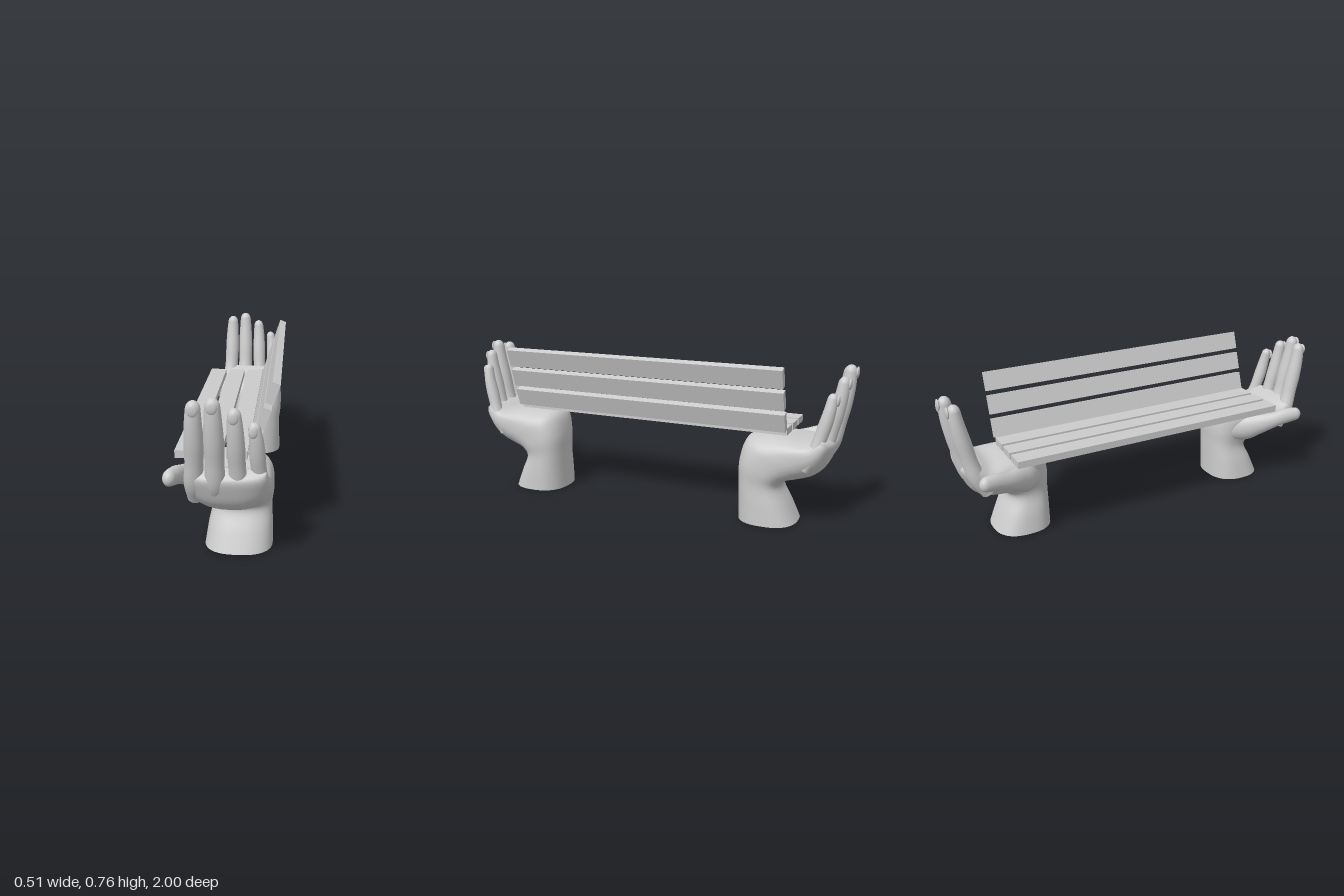
import * as THREE from 'three';

const material = new THREE.MeshStandardMaterial({ color: 0xcccccc, side: THREE.DoubleSide });

// Skin a list of rings (each an array of Vector3) into one smooth surface
function loft(rings, name) {
  const n = rings[0].length, pos = [], index = [];
  rings.forEach(r => r.forEach(p => pos.push(p.x, p.y, p.z)));
  for (let i = 0; i < rings.length - 1; i++) {
    for (let j = 0; j < n; j++) {
      const k = (j + 1) % n, a = i * n, b = a + n;
      index.push(a + j, a + k, b + k, a + j, b + k, b + j);
    }
  }
  const g = new THREE.BufferGeometry();
  g.setAttribute('position', new THREE.Float32BufferAttribute(pos, 3));
  g.setIndex(index);
  g.computeVertexNormals();
  const mesh = new THREE.Mesh(g, material);
  mesh.name = name;
  return mesh;
}

// Round-tipped digit along a path; radii are spread evenly over its length
function digit(name, points, radii, ref, squash = 1, tip = 0.93) {
  const curve = new THREE.CatmullRomCurve3(points.map(p => new THREE.Vector3(...p)));
  const widths = new THREE.SplineCurve(radii.map((r, i) => new THREE.Vector2(i, r)));
  const rings = [];
  for (let i = 0; i <= 30; i++) {
    const t = i < 20 ? tip * i / 20 : tip + (1 - tip) * Math.sin((i - 20) / 10 * Math.PI / 2);
    const c = curve.getPointAt(t), T = curve.getTangentAt(t);
    const u = ref.clone().addScaledVector(T, -ref.dot(T)).normalize();
    const v = T.clone().cross(u);
    const q = Math.max(0, (t - tip) / (1 - tip));
    const r = widths.getPoint(t).y * Math.sqrt(Math.max(0.00001, 1 - q * q));
    rings.push(Array.from({ length: 20 }, (_, j) => {
      const a = j / 20 * Math.PI * 2;
      return c.clone().addScaledVector(u, r * Math.cos(a)).addScaledVector(v, r * squash * Math.sin(a));
    }));
  }
  return loft(rings, name);
}

// Wrist and palm: palm-side z y, back-of-hand z y, right and left x
function palm() {
  const rows = [
    [0.490, 0.000, 0.775, 0.000, -0.085, 0.215],
    [0.490, 0.100, 0.735, 0.090, -0.070, 0.213],
    [0.490, 0.200, 0.698, 0.170, -0.052, 0.210],
    [0.492, 0.300, 0.725, 0.208, -0.070, 0.218],
    [0.525, 0.400, 0.785, 0.222, -0.105, 0.218],
    [0.610, 0.422, 0.845, 0.243, -0.130, 0.215],
    [0.710, 0.422, 0.890, 0.283, -0.142, 0.212],
    [0.790, 0.412, 0.918, 0.340, -0.142, 0.206],
    [0.845, 0.430, 0.935, 0.400, -0.135, 0.195],
    [0.880, 0.440, 0.905, 0.430, -0.110, 0.175],
    [0.892, 0.436, 0.893, 0.435, 0.030, 0.032],
  ];
  const spline = k => new THREE.SplineCurve(rows.map(r => new THREE.Vector2(r[k], r[k + 1])));
  const inner = spline(0), outer = spline(2), sides = spline(4);
  const bulge = a => Math.sign(a) * Math.pow(Math.abs(a), 0.8);
  const rings = [];
  for (let i = 0; i <= 50; i++) {
    const p = inner.getPoint(i / 50), q = outer.getPoint(i / 50), s = sides.getPoint(i / 50);
    rings.push(Array.from({ length: 40 }, (_, j) => {
      const a = j / 40 * Math.PI * 2, c = bulge(Math.cos(a)), d = bulge(Math.sin(a));
      return new THREE.Vector3(
        (s.x + s.y) / 2 + c * (s.y - s.x) / 2,
        (p.y + q.y) / 2 + d * (p.y - q.y) / 2,
        (p.x + q.x) / 2 + d * (p.x - q.x) / 2);
    }));
  }
  return loft(rings, 'wristAndPalm');
}

function hand(name) {
  const g = new THREE.Group();
  g.name = name;
  g.add(palm());

  // Fingers: name, base x, middle x, tip x, tip height, z offset, radius
  const X = new THREE.Vector3(1, 0, 0);
  const fingers = [
    ['indexFinger', -0.100, -0.094, -0.090, 0.738, -0.018, 0.039],
    ['middleFinger', -0.012, -0.012, -0.015, 0.755, 0, 0.040],
    ['ringFinger', 0.080, 0.074, 0.066, 0.712, -0.013, 0.036],
    ['littleFinger', 0.170, 0.158, 0.140, 0.647, -0.045, 0.032],
  ];
  for (const [label, x0, x1, x2, top, dz, r] of fingers) {
    const h = top - 0.29;
    g.add(digit(label, [
      [x0, 0.29, 0.840 + dz * 0.6],
      [x0, 0.29 + h * 0.2, 0.896 + dz],
      [x1, 0.29 + h * 0.5, 0.931 + dz],
      [x1 * 0.6 + x2 * 0.4, 0.29 + h * 0.8, 0.958 + dz],
      [x2, top, 0.968 + dz],
    ], [r * 0.9, r * 1.08, r * 0.98, r * 1.02, r * 0.9, r * 0.72], X, 0.95));

    // Fingernail
    const nail = new THREE.Mesh(new THREE.SphereGeometry(1, 16, 10), material);
    nail.name = label + 'Nail';
    nail.scale.set(r * 0.55, 0.026, 0.008);
    nail.position.set(x2, top - 0.034, 0.966 + dz + r * 0.72);
    nail.rotation.x = 0.05;
    g.add(nail);
  }

  // Thumb, with its thick root growing out of the palm
  g.add(digit('thumb', [
    [-0.02, 0.29, 0.59],
    [-0.105, 0.325, 0.67],
    [-0.165, 0.355, 0.745],
    [-0.188, 0.375, 0.81],
    [-0.212, 0.388, 0.895],
  ], [0.07, 0.076, 0.058, 0.042, 0.04, 0.034], new THREE.Vector3(0, 1, 0), 0.78, 0.92));
  return g;
}

function slat(name, width, height, x, y, tilt = 0) {
  const m = new THREE.Mesh(new THREE.BoxGeometry(width, height, 1.445), material);
  m.name = name;
  m.position.set(x, y, 0.01);
  m.rotation.z = tilt;
  return m;
}

export function createModel() {
  const bench = new THREE.Group();
  bench.name = 'handBench';

  // Two mirrored hands carry the bench
  const front = hand('frontHand'), back = hand('backHand');
  back.scale.z = -1;
  bench.add(front, back);

  // Seat and leaning backrest
  for (let i = 0; i < 3; i++) {
    bench.add(slat('seatSlat' + (i + 1), 0.09, 0.034, -0.157 + i * 0.109, 0.439));
    bench.add(slat('backrestSlat' + (i + 1), 0.035, 0.092, 0.138 + i * 0.035, 0.493 + i * 0.108, -0.32));
  }

  // The whole bench stands slightly turned
  bench.rotation.y = -0.026;
  const model = new THREE.Group();
  model.add(bench);
  return model;
}
